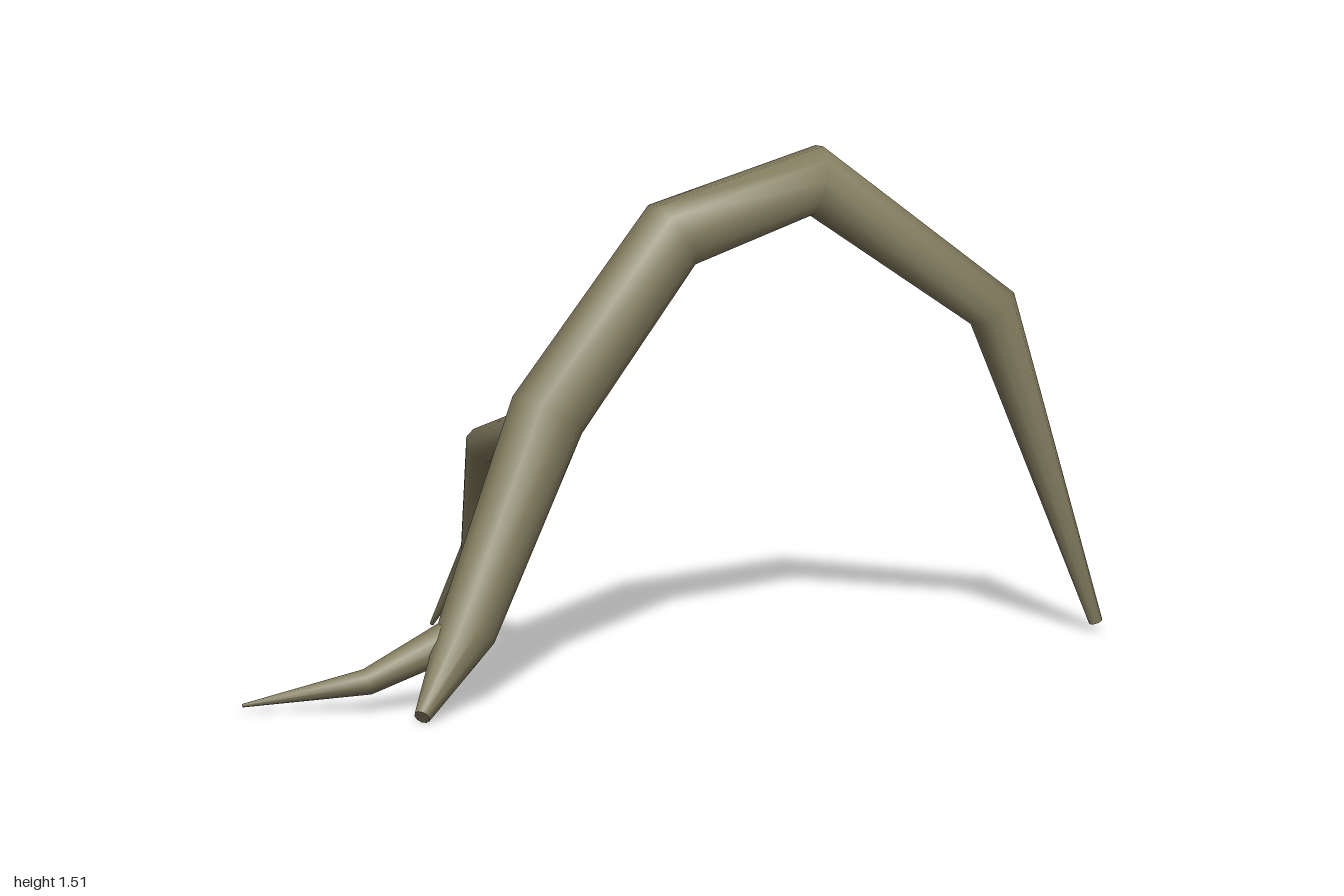
import * as THREE from 'three';

const SIDES = 10;

// Tapered limb through [x, y, z, radius] stations, mitred at every bend and capped at both ends.
function limb(name, stations, material) {
  const pts = stations.map(([x, y, z]) => new THREE.Vector3(x, y, z));
  const last = pts.length - 1;
  const dirs = pts.slice(0, last).map((p, i) => pts[i + 1].clone().sub(p).normalize());
  const u = new THREE.Vector3(0, 1, 0).cross(dirs[0]).normalize();
  const position = [];
  const index = [];

  for (let i = 0; i <= last; i++) {
    const before = dirs[Math.max(i - 1, 0)];
    const after = dirs[Math.min(i, last - 1)];
    const miter = before.clone().add(after).normalize();
    const v = before.clone().cross(u);
    for (let k = 0; k < SIDES; k++) {
      const a = (k / SIDES) * Math.PI * 2;
      const offset = u.clone().multiplyScalar(Math.cos(a)).addScaledVector(v, Math.sin(a))
        .multiplyScalar(stations[i][3]);
      // slide along the incoming segment onto the bisecting plane
      offset.addScaledVector(before, -offset.dot(miter) / before.dot(miter));
      position.push(...offset.add(pts[i]).toArray());
    }
    u.applyQuaternion(new THREE.Quaternion().setFromUnitVectors(before, after));
  }

  for (let i = 0; i < last; i++) {
    for (let k = 0; k < SIDES; k++) {
      const n = (k + 1) % SIDES;
      const a = i * SIDES + k, b = i * SIDES + n;
      index.push(a, b, b + SIDES, a, b + SIDES, a + SIDES);
    }
  }

  // caps use their own vertices so their rims stay sharp
  for (const [ring, flip] of [[0, true], [last, false]]) {
    const start = position.length / 3;
    position.push(...position.slice(ring * SIDES * 3, (ring + 1) * SIDES * 3));
    for (let k = 1; k < SIDES - 1; k++) {
      index.push(start, start + (flip ? k + 1 : k), start + (flip ? k : k + 1));
    }
  }

  const geometry = new THREE.BufferGeometry();
  geometry.setAttribute('position', new THREE.Float32BufferAttribute(position, 3));
  geometry.setIndex(index);
  geometry.computeVertexNormals();
  const mesh = new THREE.Mesh(geometry, material);
  mesh.name = name;
  return mesh;
}

export function createModel() {
  const group = new THREE.Group();
  group.name = 'archedRoot';
  const bark = new THREE.MeshStandardMaterial({ color: 0x847e60 });
  bark.name = 'olive bark';

  // main arch, from the front foot over to the back foot
  group.add(limb('mainArch', [
    [-0.46, 0.02, 0.89, 0.024],
    [-0.42, 0.22, 0.61, 0.087],
    [-0.27, 0.81, 0.335, 0.113],
    [0.0, 1.295, 0.015, 0.105],
    [0.32, 1.41, -0.32, 0.093],
    [0.76, 1.0, -0.615, 0.074],
    [0.975, 0.03, -0.905, 0.02],
  ], bark));

  // side root that bends down towards the back
  group.add(limb('upperSideRoot', [
    [-0.29, 0.775, 0.29, 0.062],
    [-0.565, 0.635, 0.035, 0.056],
    [-0.683, 0.27, -0.205, 0.036],
    [-0.85, 0.012, -0.325, 0.006],
  ], bark));

  // short root lying near the ground
  group.add(limb('lowerSideRoot', [
    [-0.43, 0.215, 0.625, 0.06],
    [-0.66, 0.09, 0.795, 0.038],
    [-1.0, 0.02, 0.915, 0.005],
  ], bark));

  return group;
}
